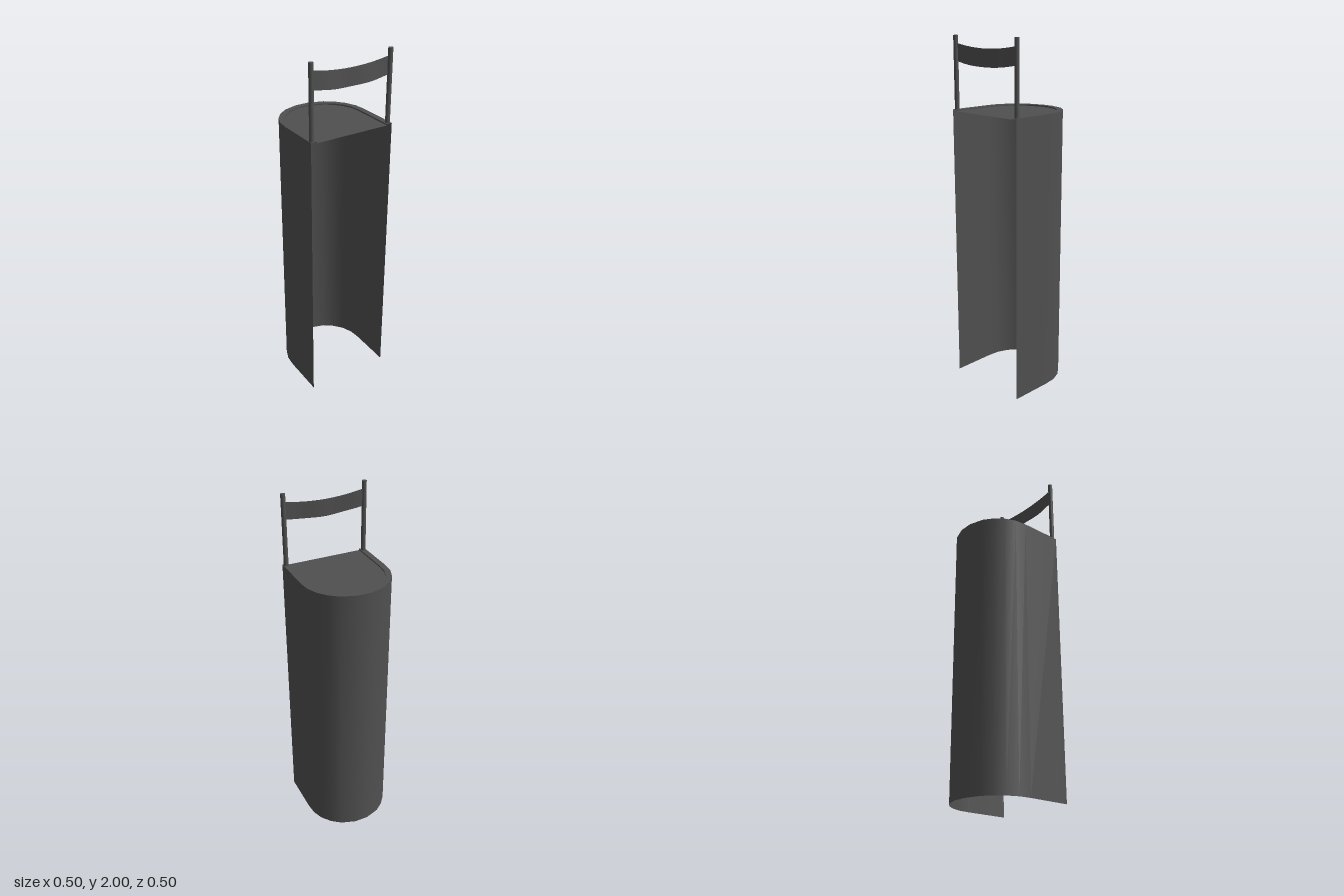
import * as THREE from 'three';

const material = new THREE.MeshStandardMaterial({ color: 0x505050, side: THREE.DoubleSide });

// Smooth strip between two rows of points
function strip(name, rowA, rowB) {
  const n = rowA.length, index = [];
  for (let i = 0; i < n - 1; i++) index.push(i, i + 1, n + i, i + 1, n + i + 1, n + i);
  const geometry = new THREE.BufferGeometry().setFromPoints([...rowA, ...rowB]);
  geometry.setIndex(index);
  geometry.computeVertexNormals();
  const mesh = new THREE.Mesh(geometry, material);
  mesh.name = name;
  return mesh;
}

// U-shaped plan, open at the front: straight sides joined by a rounded back
const half = [[0.25, 0], [0.243, -0.07], [0.218, -0.132], [0.178, -0.183], [0.125, -0.224], [0.04, -0.252]];
function plan(scale, y) {
  const right = half.map(([x, z]) => [x * scale, z * scale]);
  right.unshift([0.25 * scale, 0.25]);
  const left = right.map(([x, z]) => [-x, z]).reverse();
  return [...right, ...left].map(([x, z]) => new THREE.Vector3(x, y, z));
}

export function createModel() {
  const model = new THREE.Group();
  model.name = 'openBackedStand';
  const top = 1.6, panelY = 1.592, inner = 0.87;

  // Thin curved body, open at the front and the bottom
  model.add(strip('bodyShell', plan(1, top), plan(1, 0)));

  // Flat rim with a shallow lip down to the panel
  model.add(strip('topRim', plan(inner, top), plan(1, top)));
  model.add(strip('rimLip', plan(inner, panelY), plan(inner, top)));

  // Slightly sunken top panel
  const outline = new THREE.Shape(plan(inner, 0).map((p) => new THREE.Vector2(p.x, -p.z)));
  const panel = new THREE.Mesh(new THREE.ShapeGeometry(outline), material);
  panel.name = 'topPanel';
  panel.rotation.x = -Math.PI / 2;
  panel.position.y = panelY;
  model.add(panel);

  // Two slim posts at the front corners
  for (const side of [-1, 1]) {
    const post = new THREE.Mesh(new THREE.CylinderGeometry(0.013, 0.013, 0.4, 16), material);
    post.name = side > 0 ? 'leftPost' : 'rightPost';
    post.position.set(side * 0.235, 1.8, 0.232);
    model.add(post);
  }

  // Sagging, gently rippled band between the posts
  const upper = [], lower = [];
  for (let i = 0; i <= 16; i++) {
    const t = i / 8 - 1, x = 0.226 * t;
    const y = 1.84 + 0.021 * t * t;
    const ripple = 0.007 * Math.sin(Math.PI * t) ** 2;
    upper.push(new THREE.Vector3(x, y + 0.096, 0.227 - 0.002 * t));
    lower.push(new THREE.Vector3(x, y, 0.229 + ripple));
  }
  model.add(strip('hangingBand', lower, upper));

  return model;
}
